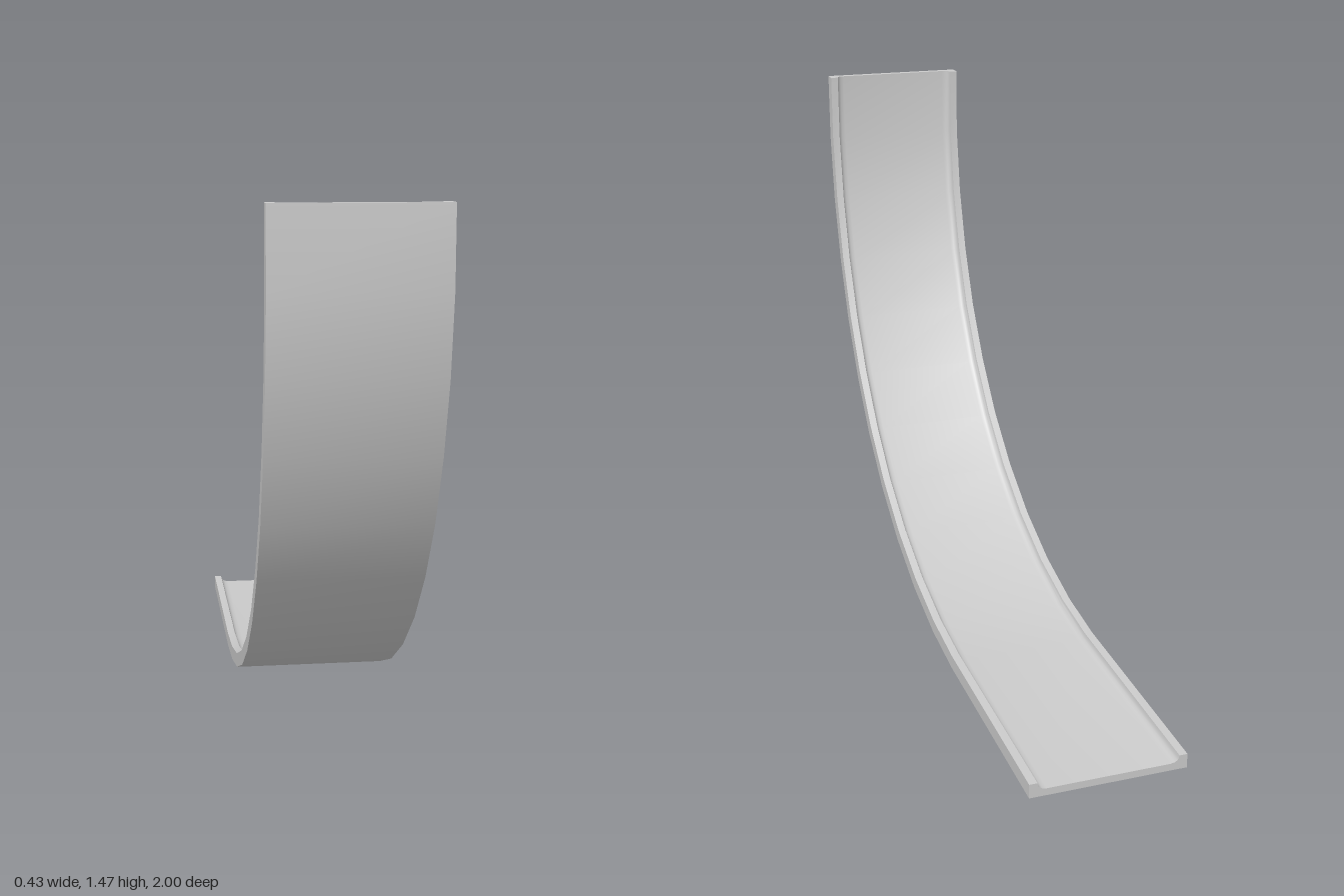
import * as THREE from 'three';
import { toCreasedNormals } from 'three/addons/utils/BufferGeometryUtils.js';

// Centre line of the track, as [z, y]: flat run, curve of ten facets, upright end
const PATH = [
  [-1, 0.02], [-0.347, 0.02], [-0.163, 0.036], [0.034, 0.08], [0.226, 0.154],
  [0.402, 0.255], [0.56, 0.381], [0.694, 0.528], [0.804, 0.692], [0.888, 0.871],
  [0.948, 1.063], [0.98, 1.265], [0.98, 1.465],
].map(([z, y]) => new THREE.Vector2(z, y));

// Right half of the channel section, as [x, height]: base, rim, filleted floor
const HALF = [
  [0.214, -0.02], [0.214, 0.02], [0.192, 0.02], [0.19, 0.012],
  [0.186, 0.006], [0.179, 0.002], [0.168, 0],
];

// Sweep a closed section along the path with mitred joints and capped ends
function sweepSection(section, path) {
  const positions = [];
  const index = [];
  const n = section.length;
  path.forEach((p, i) => {
    const before = path[Math.max(i - 1, 0)];
    const after = path[Math.min(i + 1, path.length - 1)];
    const t1 = (i > 0 ? p.clone().sub(before) : after.clone().sub(p)).normalize();
    const t2 = (i < path.length - 1 ? after.clone().sub(p) : t1.clone()).normalize();
    const t = t1.clone().add(t2).normalize();
    const miter = 1 / t.dot(t1);
    for (const s of section) {
      positions.push(s.x, p.y + t.x * s.y * miter, p.x - t.y * s.y * miter);
    }
  });
  const last = (path.length - 1) * n;
  for (let i = 0; i < last; i += n) {
    for (let j = 0; j < n; j++) {
      const k = (j + 1) % n;
      index.push(i + j, i + k, i + n + k, i + j, i + n + k, i + n + j);
    }
  }
  for (const [a, b, c] of THREE.ShapeUtils.triangulateShape(section, [])) {
    index.push(c, b, a, last + a, last + b, last + c);
  }
  const geometry = new THREE.BufferGeometry();
  geometry.setAttribute('position', new THREE.Float32BufferAttribute(positions, 3));
  geometry.setIndex(index);
  return toCreasedNormals(geometry, THREE.MathUtils.degToRad(32));
}

export function createModel() {
  const mirrored = HALF.map(([x, y]) => [-x, y]).reverse();
  const section = [...HALF, ...mirrored].map(([x, y]) => new THREE.Vector2(x, y));

  // Curved channel track
  const track = new THREE.Mesh(
    sweepSection(section, PATH),
    new THREE.MeshStandardMaterial({ color: 0xcccccc }),
  );
  track.name = 'curvedTrack';

  const group = new THREE.Group();
  group.name = 'trackPiece';
  group.add(track);
  return group;
}
